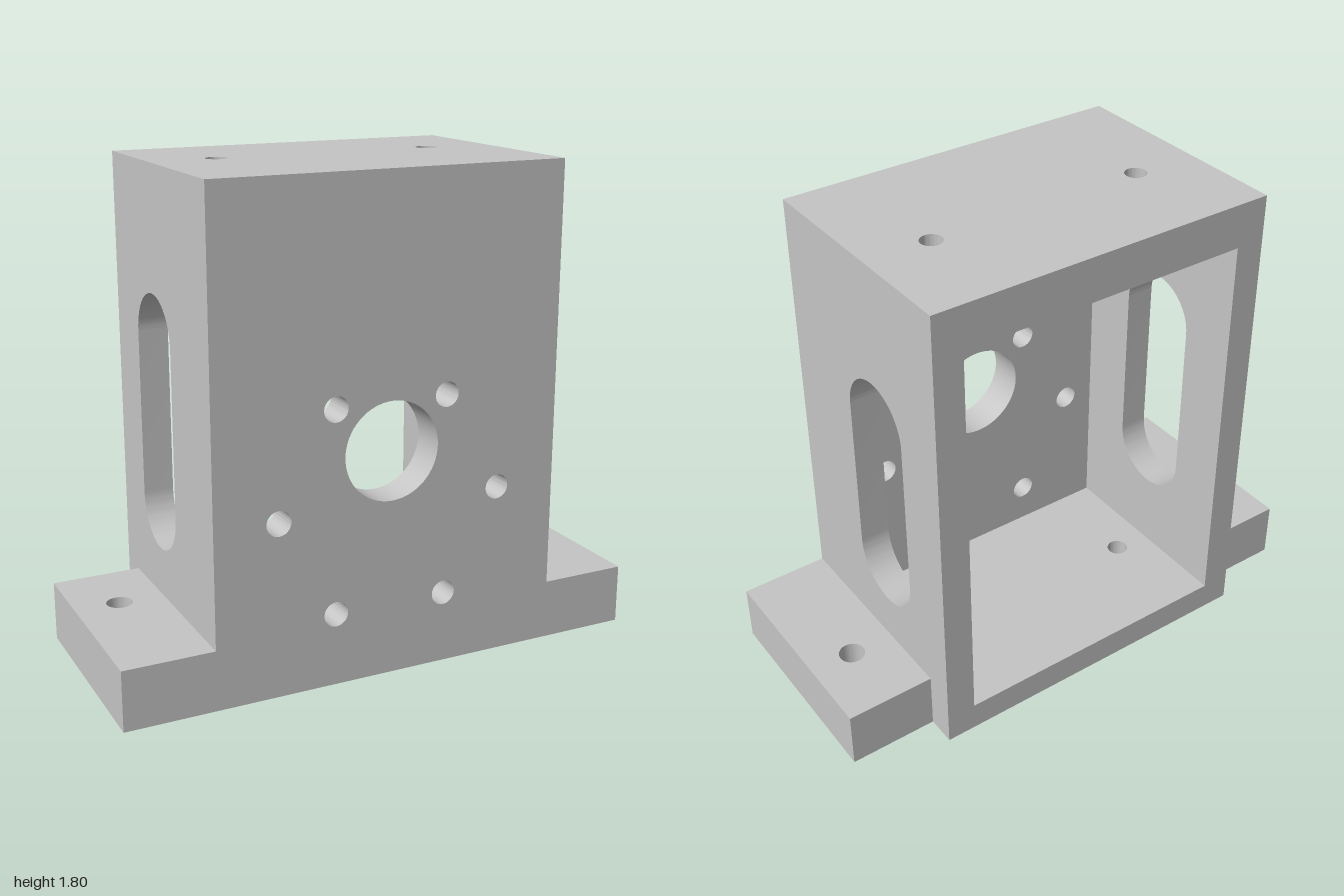
import * as THREE from 'three';
import { toCreasedNormals } from 'three/addons/utils/BufferGeometryUtils.js';

const W = 0.667, H = 1.805, FRONT = 0.458, BACK = -0.458; // housing extents
const SIDE = 0.112, FACE = 0.138, FLOOR = 0.11, ROOF = 0.165; // wall thicknesses
const FOOT_H = 0.223, FOOT_BACK = -0.347, MID_Z = -0.07;

const circle = (x, y, r) => new THREE.Path().absarc(x, y, r, 0, Math.PI * 2, true);

// Upright slot with rounded ends
function slot(x, y0, y1, r) {
  const path = new THREE.Path();
  path.absarc(x, y1 - r, r, 0, Math.PI, false);
  path.absarc(x, y0 + r, r, Math.PI, Math.PI * 2, false);
  path.closePath();
  return path;
}

// Rectangular plate with holes, extruded along +z
function plate(x0, x1, y0, y1, depth, holes) {
  const shape = new THREE.Shape([[x0, y0], [x1, y0], [x1, y1], [x0, y1]].map(p => new THREE.Vector2(...p)));
  shape.holes.push(...holes);
  const geo = new THREE.ExtrudeGeometry(shape, { depth, bevelEnabled: false, curveSegments: 32 });
  return toCreasedNormals(geo, 0.5);
}

export function createModel() {
  const group = new THREE.Group();
  const grey = new THREE.MeshStandardMaterial({ color: 0xc5c5c5 });
  grey.name = 'light machined grey';
  const add = (name, geo) => {
    const mesh = new THREE.Mesh(geo, grey);
    mesh.name = name;
    group.add(mesh);
  };
  const inner = FRONT - FACE, half = W - SIDE;

  // Front plate: shaft bore and a ring of six bolt holes
  const holes = [circle(0, 0.835, 0.181)];
  for (let i = 0; i < 6; i++) {
    const a = i * Math.PI / 3;
    holes.push(circle(0.43 * Math.cos(a), 0.64 + 0.43 * Math.sin(a), 0.046));
  }
  add('frontPlate', plate(-W, W, 0, H, FACE, holes).translate(0, 0, inner));

  // Floor and roof, each with two bolt holes
  const level = (name, y, thickness) => add(name,
    plate(-half, half, -inner, -BACK, thickness, [-0.417, 0.417].map(x => circle(x, -MID_Z, 0.04)))
      .rotateX(-Math.PI / 2).translate(0, y, 0));
  level('floor', 0, FLOOR);
  level('roof', H - ROOF, ROOF);

  // Slotted side walls and mounting feet
  for (const [side, s] of [['left', 1], ['right', -1]]) {
    add(side + 'Wall', plate(-inner, -BACK, 0, H, SIDE, [slot(-MID_Z, 0.405, 1.35, 0.167)])
      .rotateY(Math.PI / 2).translate(s > 0 ? half : -W, 0, 0));
    const [x0, x1] = s > 0 ? [W, 1] : [-1, -W];
    add(side + 'Foot', plate(x0, x1, -FRONT, -FOOT_BACK, FOOT_H, [circle(s * 0.833, -MID_Z, 0.048)])
      .rotateX(-Math.PI / 2));
  }
  return group;
}
